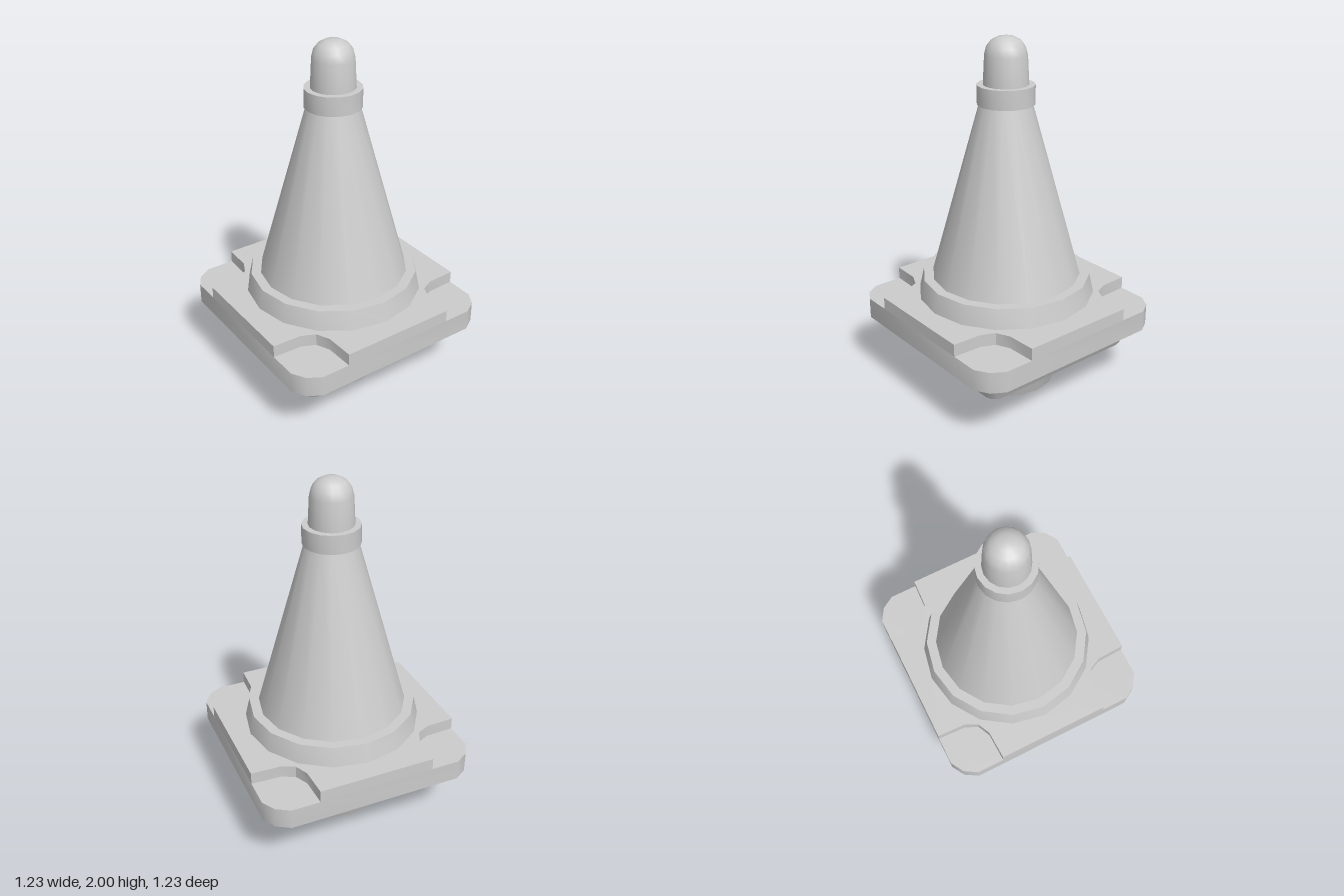
import * as THREE from 'three';
import { toCreasedNormals } from 'three/addons/utils/BufferGeometryUtils.js';

const material = new THREE.MeshStandardMaterial({ color: 0xcccccc });
const CREASE = 0.6;

function part(name, geometry) {
  const mesh = new THREE.Mesh(toCreasedNormals(geometry, CREASE), material);
  mesh.name = name;
  return mesh;
}

// 16-sided turned part from [radius, height] pairs, bottom to top
function turned(name, profile) {
  return part(name, new THREE.LatheGeometry(profile.map(([r, y]) => new THREE.Vector2(r, y)), 16));
}

// Repeats one corner's points around all four corners
function fourCorners(corner) {
  const points = [];
  for (let i = 0; i < 4; i++) {
    for (const [x, y] of corner) {
      points.push(new THREE.Vector2(x, y).rotateAround(new THREE.Vector2(), i * Math.PI / 2));
    }
  }
  return points;
}

// Outline extruded upwards between two heights
function slab(name, corner, y0, y1) {
  const geometry = new THREE.ExtrudeGeometry(new THREE.Shape(fourCorners(corner)), { depth: y1 - y0, bevelEnabled: false });
  geometry.rotateX(-Math.PI / 2).translate(0, y0, 0);
  return part(name, geometry);
}

// Square with rounded corners of three facets
function roundedCorner(half, radius) {
  return [0, 1, 2, 3].map((i) => {
    const a = i * Math.PI / 6;
    return [half - radius + radius * Math.cos(a), half - radius + radius * Math.sin(a)];
  });
}

// Tapered block joining a lower and an upper outline, closed at both ends
function taperedBlock(name, lowCorner, highCorner, y0, y1) {
  const low = fourCorners(lowCorner), high = fourCorners(highCorner);
  const n = low.length, positions = [], index = [];
  low.forEach((p) => positions.push(p.x, y0, -p.y));
  high.forEach((p) => positions.push(p.x, y1, -p.y));
  positions.push(0, y0, 0, 0, y1, 0);
  for (let i = 0; i < n; i++) {
    const j = (i + 1) % n;
    index.push(i, j, n + j, i, n + j, n + i, 2 * n, j, i, 2 * n + 1, n + i, n + j);
  }
  const geometry = new THREE.BufferGeometry();
  geometry.setAttribute('position', new THREE.Float32BufferAttribute(positions, 3));
  geometry.setIndex(index);
  geometry.computeVertexNormals();
  return part(name, geometry);
}

export function createModel() {
  const model = new THREE.Group();
  model.name = 'taperedFitting';

  // Foot and tapered skirt below the plate
  model.add(turned('foot', [[0, 0], [0.285, 0], [0.37, 0.23], [0, 0.23]]));
  model.add(taperedBlock('skirt', roundedCorner(0.485, 0.06), roundedCorner(0.55, 0.12), 0.23, 0.36));

  // Square flange with a recess in each corner
  model.add(slab('flange', [[0.615, -0.495], [0.615, 0.495], [0.57, 0.57]], 0.36, 0.48));
  model.add(slab('raisedFlange',
    [[0.615, 0.333], [0.45, 0.34], [0.375, 0.375], [0.34, 0.45], [0.333, 0.615]], 0.48, 0.55));

  // Collar, cone, neck ring and domed tip
  model.add(turned('collar', [[0, 0.55], [0.5, 0.55], [0.475, 0.66], [0, 0.66]]));
  model.add(turned('cone', [[0.42, 0.66], [0.145, 1.64]]));
  model.add(turned('neckRing', [[0, 1.64], [0.157, 1.64], [0.157, 1.745], [0, 1.745]]));
  model.add(turned('domedTip',
    [[0.123, 1.745], [0.115, 1.9], [0.104, 1.943], [0.08, 1.975], [0.045, 1.994], [0, 2]]));
  return model;
}
